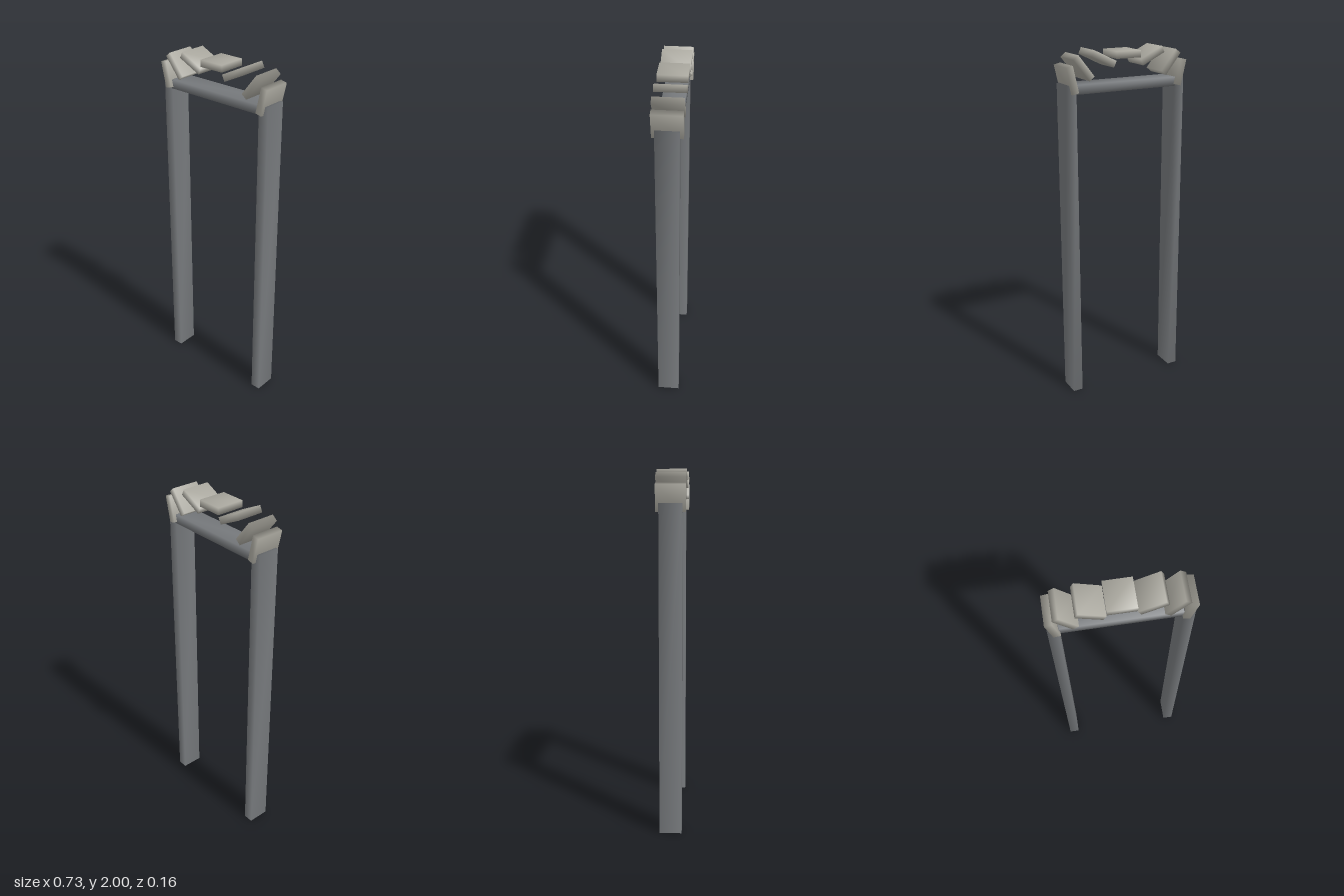
import * as THREE from 'three';
import { mergeVertices } from 'three/addons/utils/BufferGeometryUtils.js';

// Box whose corners share one normal, giving soft shading across its edges
function softBox(w, h, d) {
  const box = new THREE.BoxGeometry(w, h, d);
  box.deleteAttribute('normal');
  box.deleteAttribute('uv');
  const geometry = mergeVertices(box);
  geometry.computeVertexNormals();
  return geometry;
}

export function createModel() {
  const group = new THREE.Group();
  const frameMaterial = new THREE.MeshStandardMaterial({ color: 0x777a7d });
  const stoneMaterial = new THREE.MeshStandardMaterial({ color: 0xaaa89f });

  function add(name, geometry, material, x, y) {
    const mesh = new THREE.Mesh(geometry, material);
    mesh.name = name;
    mesh.position.set(x, y, 0);
    group.add(mesh);
    return mesh;
  }

  // Upright posts
  const postX = 0.332, height = 1.825, depth = 0.124;
  const postGeometry = softBox(0.057, height, depth);
  add('leftPost', postGeometry, frameMaterial, postX, height / 2);
  add('rightPost', postGeometry, frameMaterial, -postX, height / 2);

  // Lintel, running between the post centres
  add('lintel', softBox(postX * 2, 0.05, depth), frameMaterial, 0, height - 0.025);

  // Seven separate slabs set along a flattened arch, each tilted up at its outer end
  const slabGeometry = softBox(0.146, 0.038, 0.16);
  for (let i = -3; i <= 3; i++) {
    const angle = (i * Math.PI) / 7;
    const slab = add('archSlab' + (i + 4), slabGeometry, stoneMaterial,
      0.34 * Math.sin(angle), 1.82 + 0.147 * Math.cos(angle));
    slab.rotation.z = angle;
  }
  return group;
}
